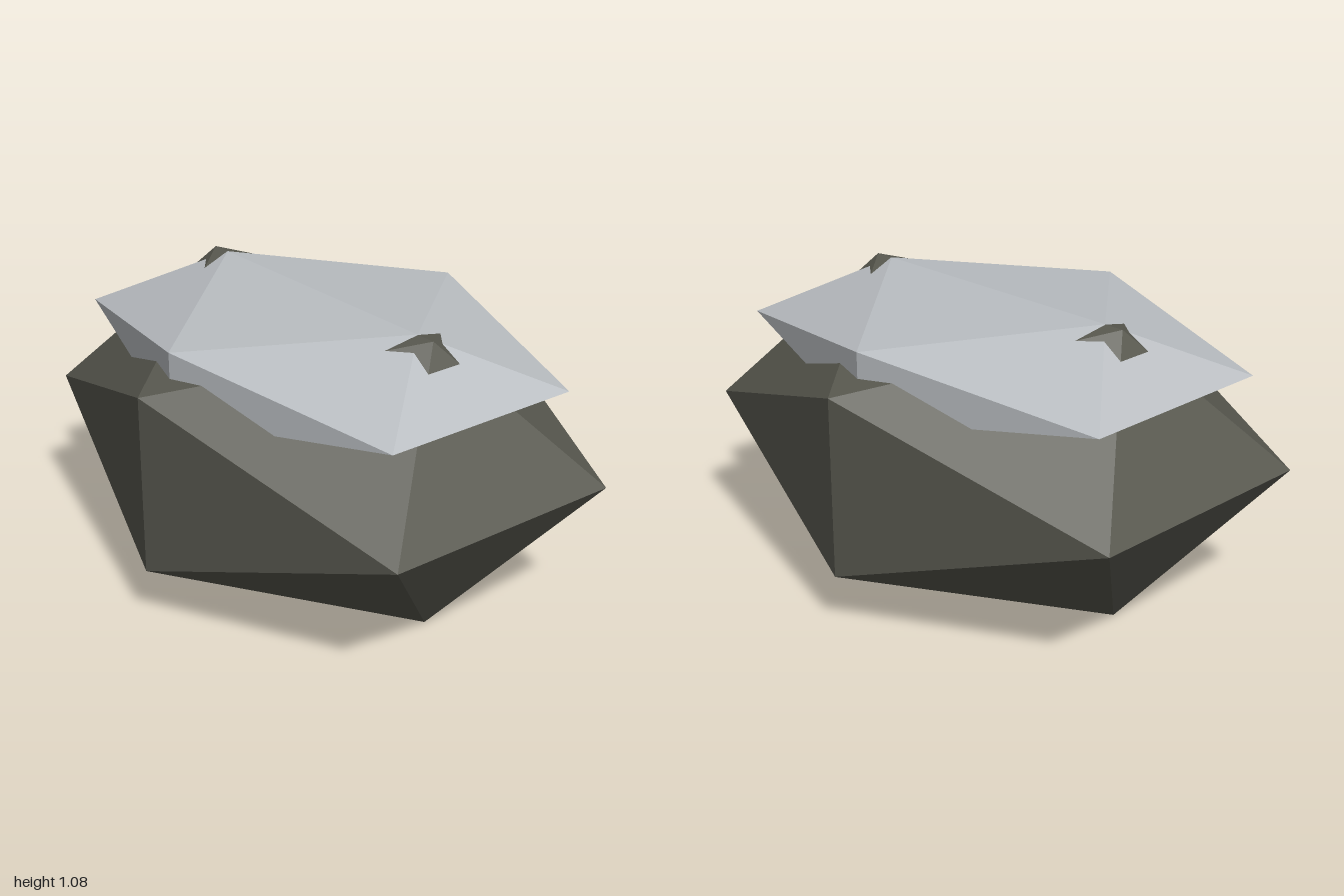
import * as THREE from 'three';

// Ratio of an icosahedron's axis extent to its radius
const EXTENT = 0.85065;

// Low-poly boulder given by its half sizes and centre height
function facetedStone(name, halfX, halfY, halfZ, centreY, material) {
  const geometry = new THREE.IcosahedronGeometry(1 / EXTENT, 0);
  geometry.scale(halfX, halfY, halfZ);
  geometry.computeVertexNormals();
  const mesh = new THREE.Mesh(geometry, material);
  mesh.name = name;
  mesh.position.y = centreY;
  return mesh;
}

export function createModel() {
  const darkStone = new THREE.MeshStandardMaterial({ name: 'darkStone', color: 0x58584f, flatShading: true });
  const paleCap = new THREE.MeshStandardMaterial({ name: 'paleCap', color: 0xb9bdc1, flatShading: true });

  const group = new THREE.Group();
  group.name = 'cappedRock';

  // Boulder; the two ends of its top ridge poke out through the cap
  group.add(facetedStone('boulder', 1, 0.54, 0.767, 0.54, darkStone));

  // Flatter pale cap sunk into the top of the boulder
  group.add(facetedStone('cap', 0.874, 0.2, 0.637, 0.8805, paleCap));

  return group;
}
